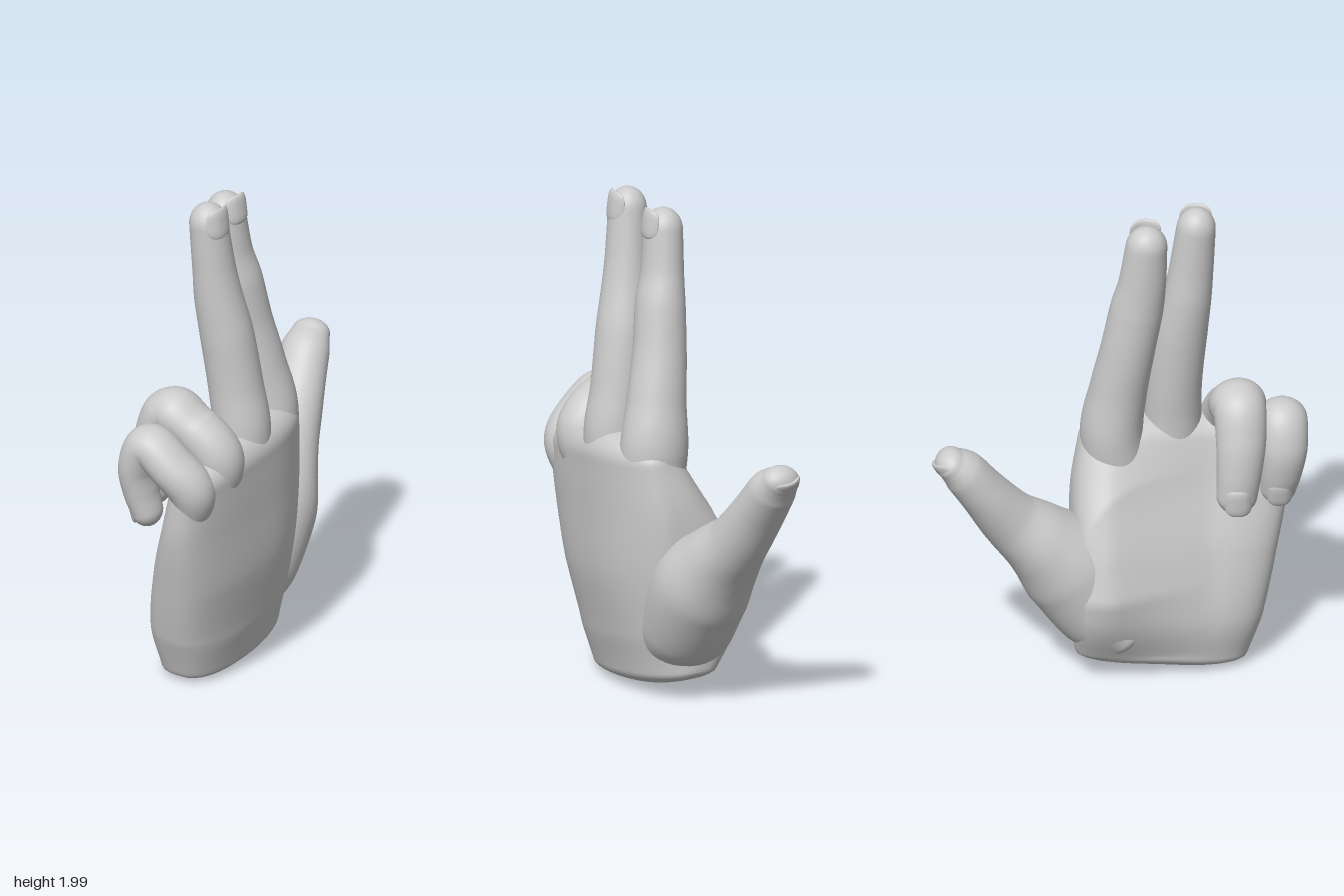
import * as THREE from 'three';

const V = (x, y, z) => new THREE.Vector3(x, y, z);

// Smooth skin over oval sections [x, y, z, depth, width]; width follows `ref`, ends are domed
function loft(rows, { ref = V(0, 0, 1), tip = 0.09, base = 0.06, power = 1, sides = 36, steps = 48, rule } = {}) {
  const path = new THREE.CatmullRomCurve3(rows.map(r => V(r[0], r[1], r[2])));
  const size = new THREE.CatmullRomCurve3(rows.map(r => V(r[3], r[4], 0)));
  const rings = [], dome = 9, pos = [], idx = [];
  for (let k = 0; k < dome; k++) {
    const f = (k / dome) * Math.PI / 2;
    rings.push([0, Math.max(Math.sin(f), 0.01), -base * Math.cos(f)]);
  }
  for (let k = 0; k <= steps; k++) rings.push([k / steps, 1, 0]);
  for (let k = 1; k <= dome; k++) {
    const f = (k / dome) * Math.PI / 2;
    rings.push([1, Math.max(Math.cos(f), 0.01), tip * Math.sin(f)]);
  }
  const bulge = v => Math.sign(v) * Math.pow(Math.abs(v), power);
  rings.forEach(([t, scale, shift], i) => {
    const T = path.getTangent(t);
    const B = ref.clone().addScaledVector(T, -T.dot(ref)).normalize();
    const A = B.clone().cross(T);
    const c = path.getPoint(t).addScaledVector(T, shift), s = size.getPoint(t);
    for (let j = 0; j < sides; j++) {
      const q = (j / sides) * Math.PI * 2;
      const p = c.clone()
        .addScaledVector(A, s.x * scale * bulge(Math.cos(q)))
        .addScaledVector(B, s.y * scale * bulge(Math.sin(q)));
      if (rule) rule(p);
      pos.push(p.x, p.y, p.z);
      if (i < rings.length - 1) {
        const a = i * sides + j, b = i * sides + (j + 1) % sides;
        idx.push(a, b, b + sides, a, b + sides, a + sides);
      }
    }
  });
  const g = new THREE.BufferGeometry();
  g.setAttribute('position', new THREE.Float32BufferAttribute(pos, 3));
  g.setIndex(idx);
  g.computeVertexNormals();
  return g;
}

// Rounded plate, curved across its width, lying on a fingertip
function nailGeometry(at, axis, normal, w, l) {
  const g = new THREE.SphereGeometry(1, 32, 24), p = g.attributes.position;
  const square = v => Math.sign(v) * Math.pow(Math.abs(v), 0.6);
  for (let i = 0; i < p.count; i++) {
    const x = square(p.getX(i)) * w / 2;
    p.setXYZ(i, x, square(p.getY(i)) * l / 2, p.getZ(i) * 0.014 - 6 * x * x);
  }
  g.computeVertexNormals();
  const Z = normal.clone().normalize();
  const Y = axis.clone().addScaledVector(Z, -axis.dot(Z)).normalize();
  const m = new THREE.Matrix4().makeBasis(Y.clone().cross(Z), Y, Z).setPosition(at);
  return g.applyMatrix4(m);
}

export function createModel() {
  const hand = new THREE.Group();
  hand.name = 'hand';
  const skin = new THREE.MeshStandardMaterial({ color: 0xcccccc });
  const add = (name, geometry) => {
    const mesh = new THREE.Mesh(geometry, skin);
    mesh.name = name;
    hand.add(mesh);
  };

  // Palm: the back curves round to the thumb side, the inside swells below the straight fingers
  const clamp = THREE.MathUtils.clamp;
  add('palm', loft([
    [0.00, 0.085, 0.165, 0.15, 0.35],
    [0.01, 0.25, 0.185, 0.18, 0.39],
    [0.06, 0.50, 0.22, 0.175, 0.415],
    [0.11, 0.75, 0.25, 0.135, 0.435],
    [0.14, 0.94, 0.272, 0.11, 0.42],
  ], {
    power: 0.75, sides: 72, base: 0.065, tip: 0.11,
    rule: p => {
      const inner = clamp((0.12 - p.x) / 0.12, 0, 1) * clamp((p.y - 0.1) / 0.3, 0, 1);
      p.x -= 0.4 * Math.max(0, 0.22 - p.z) ** 2 + 0.3 * inner * clamp(0.35 - p.z, 0, 0.4);
    },
  }));

  // Straight fingers
  add('indexFinger', loft([
    [0.06, 0.70, 0.04, 0.11, 0.12],
    [0.063, 1.00, -0.018, 0.138, 0.125],
    [0.04, 1.20, 0.005, 0.12, 0.115],
    [0.01, 1.40, 0.04, 0.107, 0.108],
    [-0.008, 1.58, 0.072, 0.099, 0.106],
    [-0.025, 1.70, 0.092, 0.085, 0.095],
    [-0.037, 1.87, 0.108, 0.078, 0.083],
  ]));
  add('middleFinger', loft([
    [0.12, 0.70, 0.23, 0.09, 0.10],
    [0.125, 1.03, 0.23, 0.115, 0.115],
    [0.10, 1.20, 0.235, 0.11, 0.11],
    [0.07, 1.43, 0.256, 0.107, 0.107],
    [0.045, 1.60, 0.28, 0.096, 0.096],
    [0.035, 1.72, 0.294, 0.085, 0.088],
    [0.022, 1.91, 0.312, 0.077, 0.078],
  ]));

  // Fingers curled over the palm
  add('ringFinger', loft([
    [0.13, 0.80, 0.42, 0.08, 0.09],
    [0.157, 0.99, 0.445, 0.10, 0.105],
    [0.07, 1.09, 0.465, 0.095, 0.105],
    [-0.05, 1.145, 0.475, 0.095, 0.105],
    [-0.11, 1.03, 0.475, 0.088, 0.10],
    [-0.135, 0.90, 0.465, 0.08, 0.09],
    [-0.14, 0.80, 0.455, 0.072, 0.082],
  ], { tip: 0.08, steps: 72 }));
  add('littleFinger', loft([
    [0.125, 0.76, 0.575, 0.07, 0.075],
    [0.145, 0.90, 0.61, 0.09, 0.095],
    [0.075, 0.99, 0.64, 0.087, 0.10],
    [-0.03, 1.065, 0.65, 0.087, 0.098],
    [-0.08, 0.97, 0.65, 0.077, 0.093],
    [-0.075, 0.86, 0.64, 0.068, 0.082],
    [-0.055, 0.78, 0.63, 0.06, 0.072],
  ], { tip: 0.07, steps: 72 }));

  // Thumb, growing out of the fleshy heel and webbed to the palm
  add('thumb', loft([
    [-0.055, 0.20, 0.02, 0.13, 0.16],
    [-0.05, 0.30, -0.08, 0.185, 0.19],
    [-0.055, 0.48, -0.20, 0.20, 0.20],
    [-0.085, 0.62, -0.325, 0.155, 0.165],
    [-0.11, 0.73, -0.44, 0.12, 0.125],
    [-0.145, 0.88, -0.555, 0.097, 0.112],
    [-0.165, 0.985, -0.635, 0.088, 0.10],
    [-0.175, 1.03, -0.685, 0.065, 0.08],
  ], { ref: V(1, 0, 0), tip: 0.06, steps: 64 }));

  // Nails
  const up = V(0, 1, 0), down = V(0, -1, 0);
  add('indexNail', nailGeometry(V(0.033, 1.905, 0.111), up, V(1, 0.15, 0.05), 0.125, 0.12));
  add('middleNail', nailGeometry(V(0.088, 1.93, 0.316), up, V(1, 0.12, 0.05), 0.13, 0.125));
  add('ringNail', nailGeometry(V(-0.204, 0.79, 0.455), down, V(-1, -0.1, 0), 0.11, 0.12));
  add('littleNail', nailGeometry(V(-0.11, 0.77, 0.63), down, V(-0.95, -0.25, 0), 0.10, 0.11));
  add('thumbNail', nailGeometry(V(-0.195, 0.99, -0.712), V(0, 0.65, -0.7), V(-0.3, -0.66, -0.72), 0.13, 0.13));

  // Stand the hand on the ground
  const lowest = new THREE.Box3().setFromObject(hand, true).min.y;
  hand.children.forEach(m => m.geometry.translate(0, -lowest, 0));
  return hand;
}
